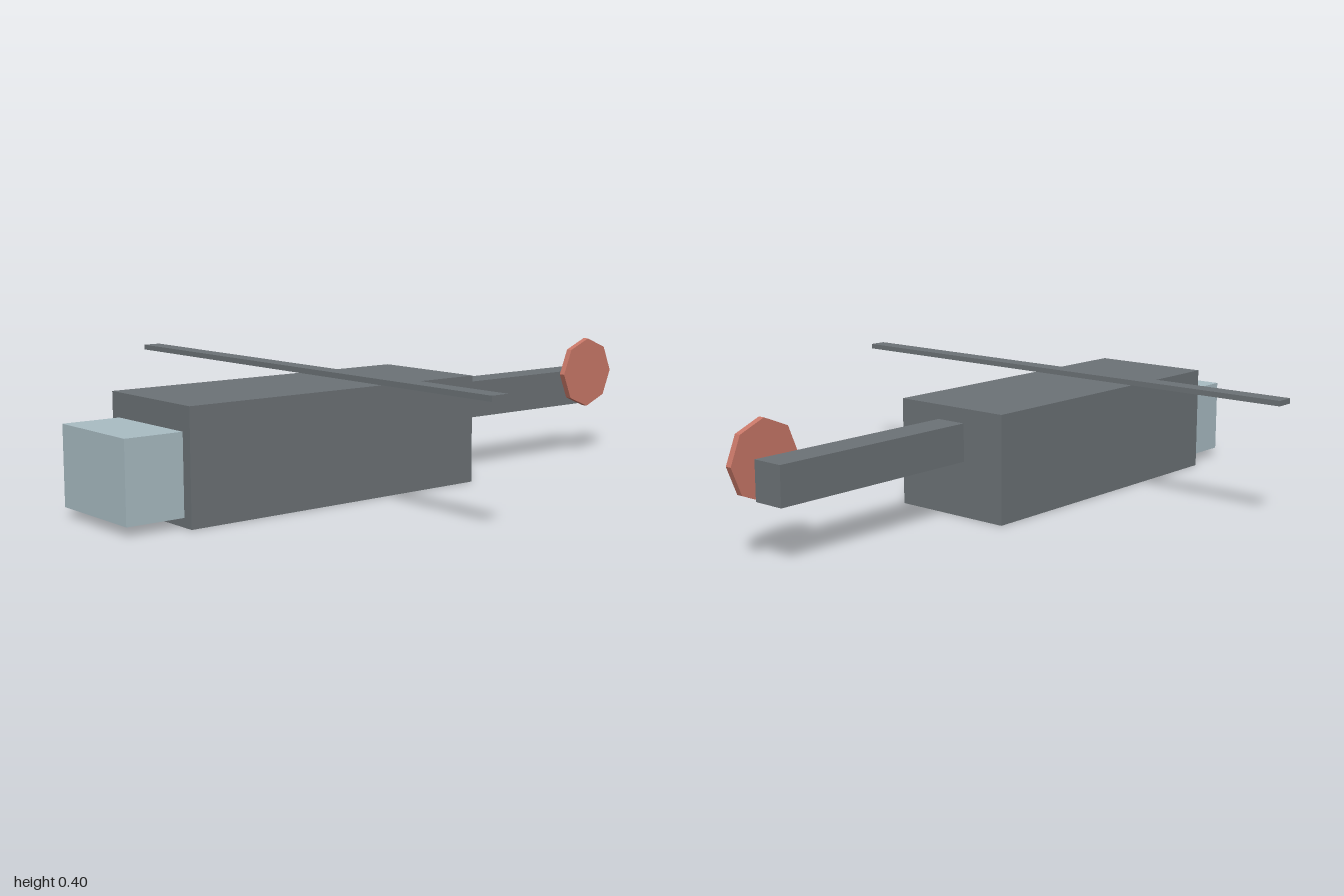
import * as THREE from 'three';

export function createModel() {
  const group = new THREE.Group();
  group.name = 'helicopter';

  const material = (name, color) => {
    const m = new THREE.MeshStandardMaterial({ color });
    m.name = name;
    return m;
  };
  const grey = material('hull grey', 0x6c7276);
  const glass = material('pale glass blue', 0xa9bcc3);
  const red = material('rotor red', 0xc97868);

  // Box given by its extents along each axis
  const box = (name, mat, [x0, x1], [y0, y1], [z0, z1]) => {
    const mesh = new THREE.Mesh(new THREE.BoxGeometry(x1 - x0, y1 - y0, z1 - z0), mat);
    mesh.position.set((x0 + x1) / 2, (y0 + y1) / 2, (z0 + z1) / 2);
    mesh.name = name;
    group.add(mesh);
  };

  box('fuselage', grey, [-0.2, 0.2], [0, 0.333], [-0.208, 0.822]);
  box('cockpit', glass, [-0.165, 0.165], [0.027, 0.261], [0.822, 1]);
  box('tailBoom', grey, [-0.052, 0.05], [0.171, 0.288], [-0.92, -0.208]);
  box('mainRotor', grey, [-0.833, 0.833], [0.368, 0.384], [0.275, 0.333]);

  // Eight-sided tail rotor disc on the left side of the boom
  const disc = new THREE.CylinderGeometry(0.117, 0.117, 0.02, 8).toNonIndexed();
  disc.rotateZ(-Math.PI / 2);
  disc.computeVertexNormals();
  const tailRotor = new THREE.Mesh(disc, red);
  tailRotor.position.set(0.06, 0.279, -0.883);
  tailRotor.name = 'tailRotor';
  group.add(tailRotor);

  return group;
}
